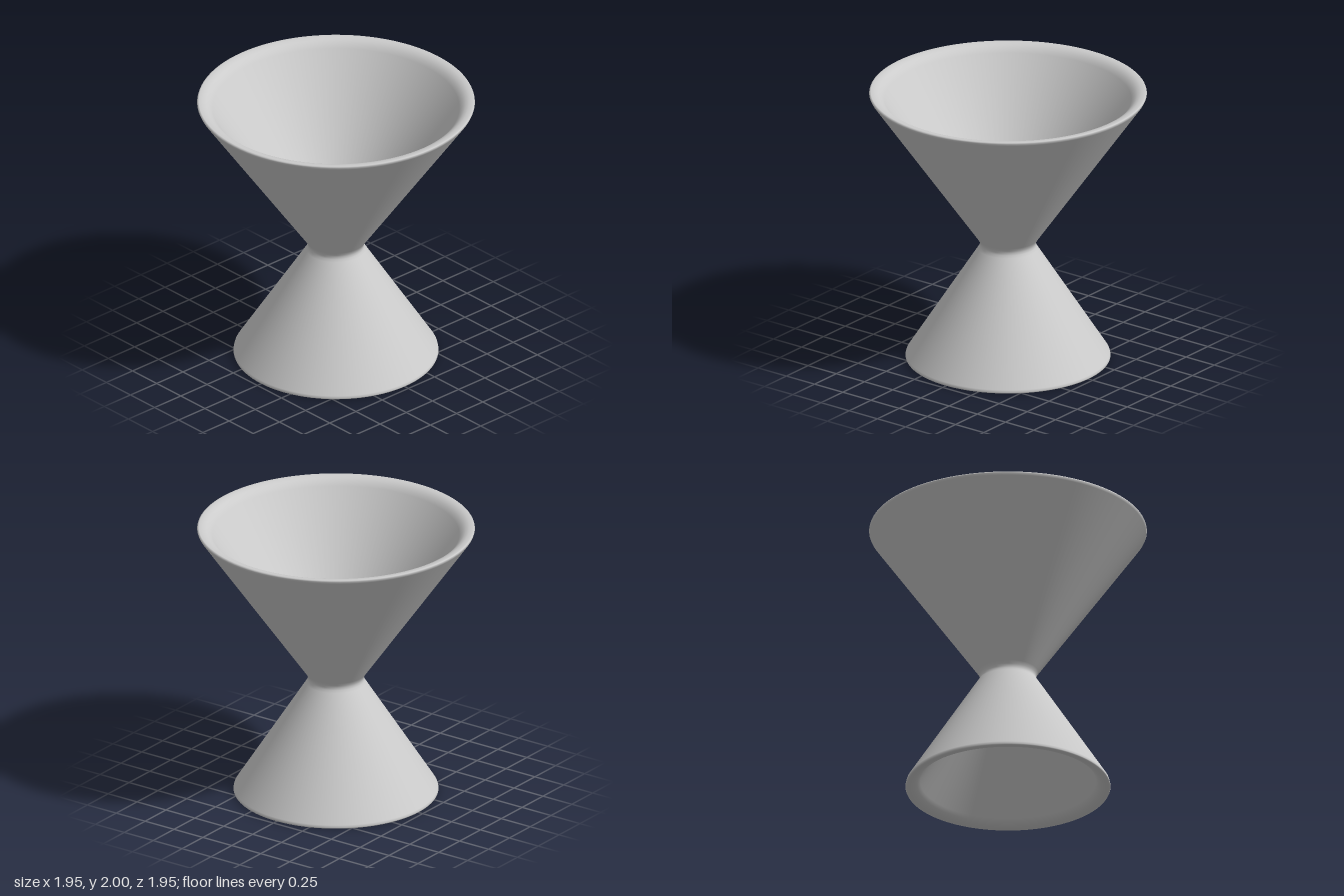
import * as THREE from 'three';

export function createModel() {
  const group = new THREE.Group();
  const material = new THREE.MeshStandardMaterial({ color: 0xcccccc });

  // Closed wall profile [radius, height]: lower cup inside, outside, upper cup inside.
  // The lips round over gently towards the inside.
  const profile = [
    [0, 0.79], [0.06, 0.788], [0.11, 0.78], [0.145, 0.762], [0.175, 0.73],
    [0.615, 0.05], [0.637, 0.025], [0.66, 0.01], [0.685, 0.002], [0.708, 0], [0.717, 0.003], [0.72, 0.01], [0.716, 0.028],
    [0.21, 0.82], [0.199, 0.838], [0.196, 0.855], [0.2, 0.872], [0.212, 0.895],
    [0.968, 1.972], [0.975, 1.988], [0.972, 1.997], [0.963, 2], [0.935, 1.997], [0.91, 1.987], [0.888, 1.97], [0.866, 1.945],
    [0.18, 0.968], [0.15, 0.937], [0.115, 0.919], [0.06, 0.911], [0, 0.91],
  ].map(([r, y]) => new THREE.Vector2(r, y));

  const body = new THREE.Mesh(new THREE.LatheGeometry(profile, 96), material);
  body.name = 'doubleConeCup';
  group.add(body);
  return group;
}
